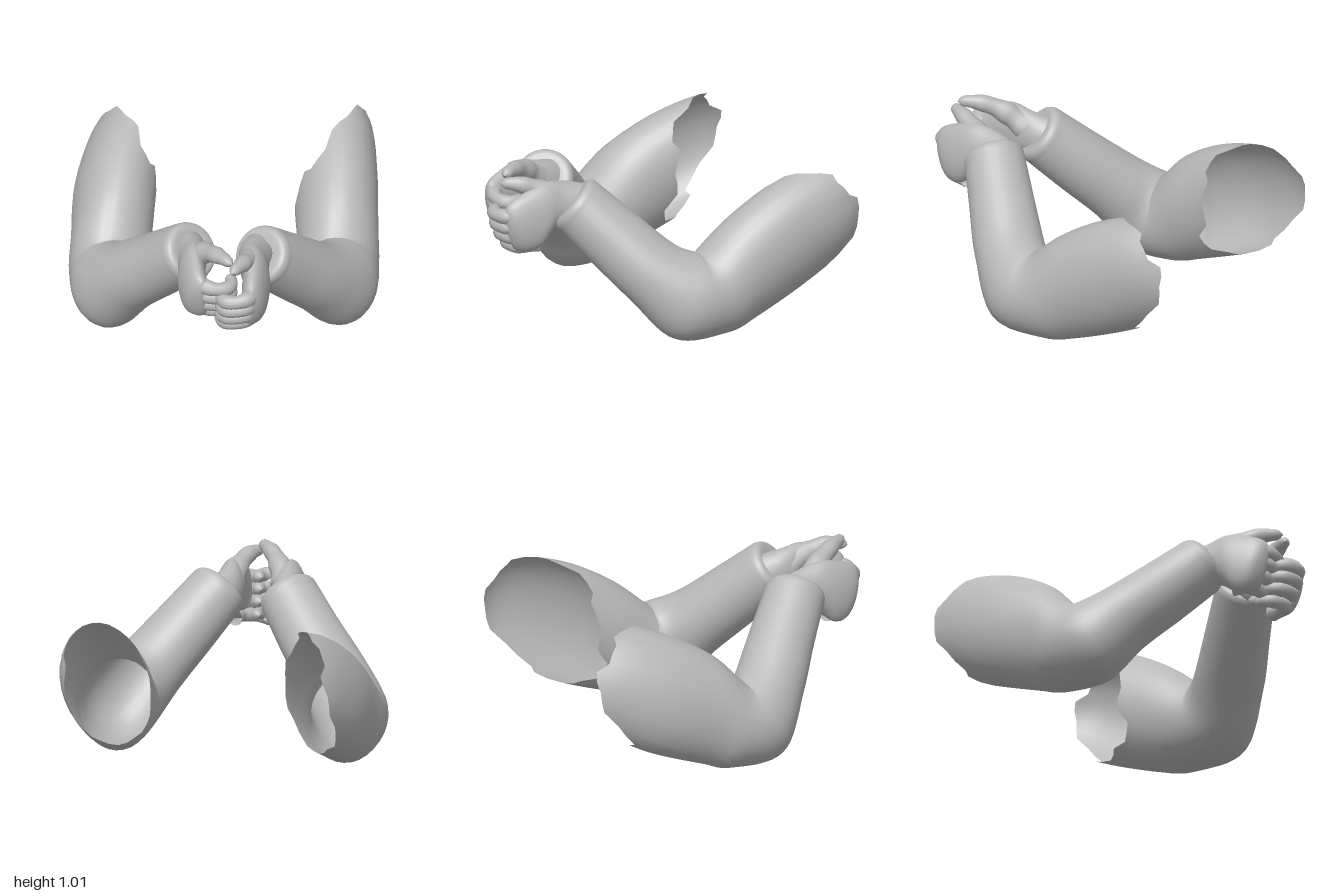
import * as THREE from 'three';

const V = (x, y, z) => new THREE.Vector3(x, y, z);
const skin = new THREE.MeshStandardMaterial({ color: 0xb8b8b8, side: THREE.DoubleSide });
skin.name = 'plain grey';

// Smooth skin through elliptical stations { c: centre, u, v: half axes }.
// endAt(angle) gives the station number where the skin stops.
function loft(name, stations, rows, cols, endAt = () => stations.length - 1) {
  const last = stations.length - 1;
  const [c, u, v] = ['c', 'u', 'v'].map(k => new THREE.CatmullRomCurve3(stations.map(s => s[k]), false, 'catmullrom'));
  const pos = [], idx = [];
  for (let i = 0; i <= rows; i++) {
    for (let j = 0; j < cols; j++) {
      const a = j / cols * Math.PI * 2;
      const t = Math.min(1, i / rows * endAt(a, j) / last);
      const p = c.getPoint(t).addScaledVector(u.getPoint(t), Math.cos(a)).addScaledVector(v.getPoint(t), Math.sin(a));
      pos.push(p.x, p.y, p.z);
    }
  }
  const s = stations[1];
  const along = stations[2].c.clone().sub(stations[0].c);
  const flip = s.u.clone().cross(s.v).dot(along) < 0;
  for (let i = 0; i < rows; i++) {
    for (let j = 0; j < cols; j++) {
      const a = i * cols + j, b = i * cols + (j + 1) % cols, d = a + cols, e = b + cols;
      if (flip) idx.push(a, d, b, b, d, e);
      else idx.push(a, b, d, b, e, d);
    }
  }
  const g = new THREE.BufferGeometry();
  g.setAttribute('position', new THREE.Float32BufferAttribute(pos, 3));
  g.setIndex(idx);
  g.computeVertexNormals();
  const mesh = new THREE.Mesh(g, skin);
  mesh.name = name;
  return mesh;
}

// Rounded, tapering finger along a path
function finger(name, points, r0, r1) {
  const n = 18, curve = new THREE.CatmullRomCurve3(points);
  const f = curve.computeFrenetFrames(n);
  const stations = [];
  for (let i = 0; i <= n; i++) {
    const t = i / n, tip = Math.max(0, (t - 0.84) / 0.16);
    // slight swelling at the joints
    const r = (r0 + (r1 - r0) * t) * (1 + 0.06 * Math.cos(t * Math.PI * 6)) * Math.sqrt(Math.max(0.0004, 1 - tip * tip));
    stations.push({
      c: curve.getPointAt(t),
      u: f.normals[i].clone().multiplyScalar(r),
      v: f.binormals[i].clone().multiplyScalar(r)
    });
  }
  return loft(name, stations, 24, 12);
}

// Positions are given for the left arm; side = -1 mirrors them
function buildArm(side, d) {
  const arm = new THREE.Group();
  arm.name = side > 0 ? 'leftArm' : 'rightArm';
  const P = a => V(side * a[0], a[1], a[2]);
  const station = (c, u, v) => ({ c: P(c), u: P(u), v: P(v) });
  const round = (c, r) => station(c, [0.73 * r, 0, 0.68 * r], [0.42 * r, 0.78 * r, -0.45 * r]);

  // Sleeve from wrist over the elbow to the torn shoulder edge
  const s = d.sleeve, lean = d.lean;
  const sleeve = [
    round(s[0], 0.172), round(s[1], 0.185), round(s[2], 0.2),
    station(s[3], [0.205, -0.02, 0.07], [0.03, 0.235, -0.08]),
    station(s[4], [0.22, 0, 0], [0, 0.25, 0.05]),
    station(s[5], [0.228, 0, 0], [lean / 2, 0.31, 0.05]),
    station(s[6], [0.235, 0, 0], [lean, 0.32, 0.09]),
    station(s[7], [0.23, 0, 0], [lean, 0.29, 0.09]),
    station(s[8], [0.18, 0, 0], [lean, 0.24, 0.08])
  ];
  const jag = [0.08, -0.1, 0.05, 0.1, -0.08, 0.02, -0.12, 0.09];
  arm.add(loft('sleeve', sleeve, 40, 32, (a, j) =>
    6.15 + d.reach + 0.9 * Math.cos(a) + 0.25 * Math.cos(a) ** 2 + 0.25 * Math.sin(a) + jag[(j * 3) % 8]));

  // Cuff: rounds over and closes in on the wrist
  const w = s[0];
  const out = k => [w[0] - 0.54 * k, w[1] + 0.62 * k, w[2] + 0.57 * k];
  arm.add(loft('cuff', [
    round(w, 0.172), round(out(0.03), 0.17), round(out(0.055), 0.157),
    round(out(0.065), 0.13), round(out(0.06), 0.08)
  ], 14, 32));

  // Palm from the wrist to the knuckles
  const h = d.palm;
  arm.add(loft('palm', [
    station(h[0], [0.088, 0, 0.04], [0.02, 0.11, -0.05]),
    station(h[1], [0.085, 0, 0.035], [0, 0.13, -0.04]),
    station(h[2], [0.075, 0, 0.02], [-0.015, 0.18, -0.02]),
    station(h[3], [0.06, 0, 0.035], [-0.015, 0.16, 0.03]),
    station(h[4], [0.034, 0, 0.03], [0, 0.125, 0.03]),
    station([h[4][0] - 0.01, h[4][1], h[4][2] + 0.015], [0.001, 0, 0.001], [0, 0.005, 0])
  ], 24, 24));

  // Four curled fingers, stacked downwards
  const curl = [[0.11, 0.01, 0.84], [0.075, 0.005, 0.935], [0, -0.005, 0.962],
    [-0.065, -0.01, 0.935], [-0.08, -0.005, 0.88], [-0.055, 0, 0.84]];
  for (let i = 0; i < 4; i++) {
    const [ox, oy, oz] = d.fingers;
    const path = curl.map(p => P([p[0] + ox, p[1] + oy + 0.755 - 0.066 * i, p[2] + oz - 0.007 * i * (i + 1)]));
    arm.add(finger('finger' + (i + 1), path, 0.045, i === 3 ? 0.033 : 0.037));
  }
  arm.add(finger('thumb', d.thumb.map(P), 0.075, 0.031));
  return arm;
}

export function createModel() {
  const model = new THREE.Group();
  model.name = 'claspedArms';
  model.add(buildArm(1, {
    reach: 0, lean: 0.03,
    sleeve: [[0.19, 0.76, 0.53], [0.33, 0.6, 0.405], [0.495, 0.415, 0.255], [0.62, 0.275, 0.11], [0.645, 0.265, -0.06],
      [0.645, 0.36, -0.25], [0.648, 0.495, -0.55], [0.635, 0.615, -0.85], [0.56, 0.67, -1.05]],
    palm: [[0.145, 0.76, 0.5], [0.118, 0.775, 0.62], [0.125, 0.745, 0.74], [0.1, 0.7, 0.87], [0.065, 0.675, 0.92]],
    fingers: [0, 0, 0],
    thumb: [[0.11, 0.8, 0.62], [0.085, 0.87, 0.72], [0.045, 0.915, 0.82], [0, 0.925, 0.89], [-0.03, 0.92, 0.925]]
  }));
  model.add(buildArm(-1, {
    reach: 0.12, lean: -0.04,
    sleeve: [[0.25, 0.76, 0.47], [0.38, 0.595, 0.325], [0.535, 0.41, 0.165], [0.645, 0.255, 0.03], [0.655, 0.25, -0.13],
      [0.625, 0.36, -0.3], [0.58, 0.495, -0.6], [0.485, 0.615, -0.88], [0.4, 0.67, -1.1]],
    palm: [[0.23, 0.76, 0.45], [0.222, 0.775, 0.57], [0.235, 0.755, 0.69], [0.215, 0.725, 0.81], [0.17, 0.71, 0.86]],
    fingers: [0.1, 0.045, -0.07],
    thumb: [[0.2, 0.82, 0.57], [0.165, 0.89, 0.66], [0.115, 0.94, 0.75], [0.065, 0.962, 0.83], [0.02, 0.967, 0.9]]
  }));
  return model;
}
